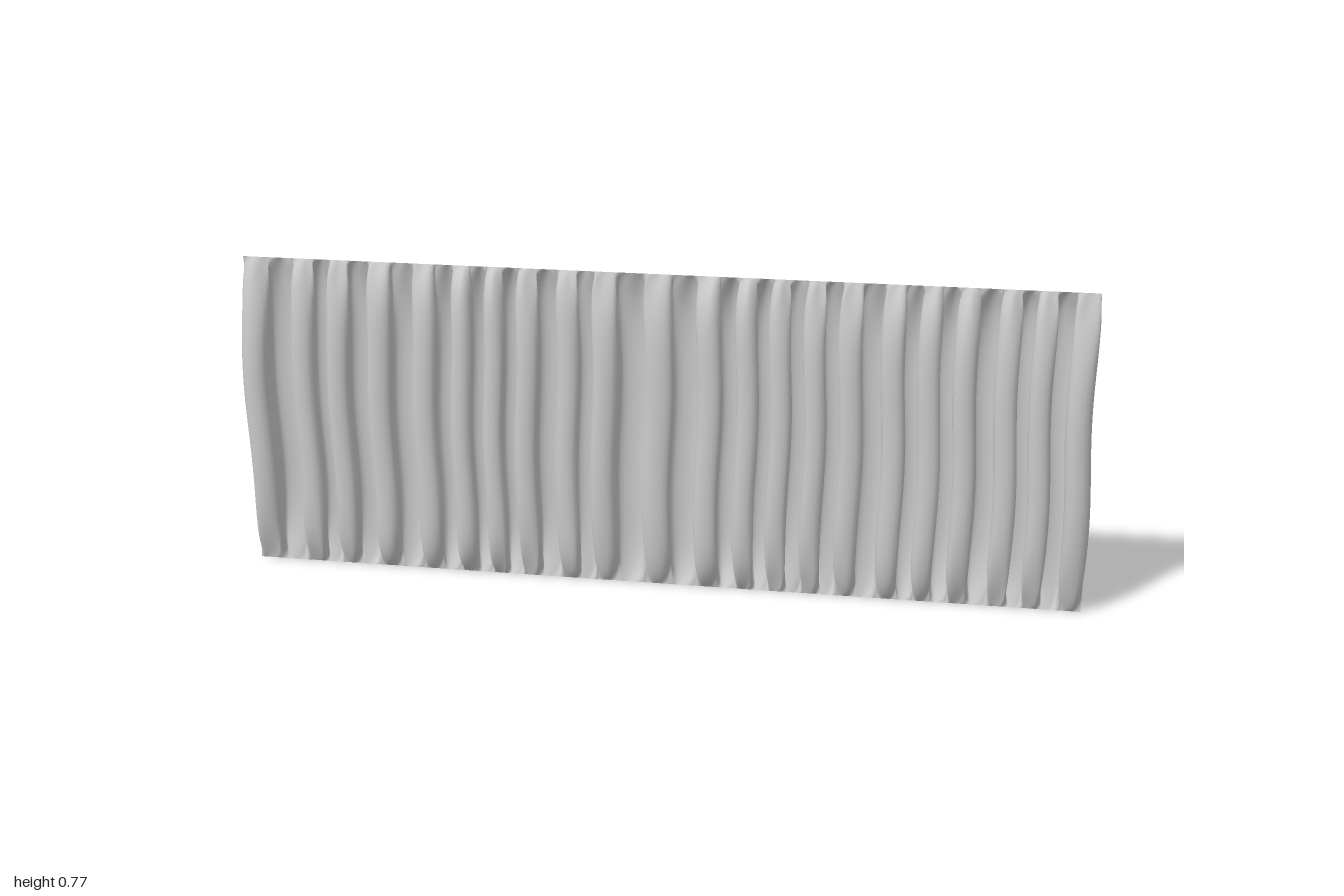
import * as THREE from 'three';

const HEIGHT = 0.77;
// x of the crest of every front fold
const crests = [-0.96, -0.84, -0.76, -0.66, -0.55, -0.46, -0.385, -0.31, -0.21, -0.13, 0,
  0.12, 0.205, 0.28, 0.36, 0.44, 0.54, 0.62, 0.7, 0.795, 0.87, 0.955];
const LAST = crests.length - 1;

// Repeatable value from 0 to 1 for fold number k
function rand(k, salt) {
  const v = Math.sin(k * 12.9898 + salt * 78.233) * 43758.5453;
  return v - Math.floor(v);
}

// Place along the curtain for a phase counted in folds
function along(p) {
  if (p <= 0) return crests[0] + p * 0.12;
  if (p >= LAST) return crests[LAST] + (p - LAST) * 0.12;
  const i = Math.floor(p);
  return THREE.MathUtils.lerp(crests[i], crests[i + 1], p - i);
}

// Point on the gathered cloth: p is the fold phase, v runs from 0 (bottom) to 1 (top)
function clothPoint(p, v, target) {
  const t = Math.abs(2 * v - 1);
  const edge = 1 - Math.pow(t, 10);
  // gentle sideways drift of the folds with height
  const drift = edge * 0.006 * Math.sin(v * 7 + Math.floor(p + 0.5) * 0.3);
  const theta = p * Math.PI * 2;
  const c = Math.cos(theta);
  const front = c > 0;
  const k = front ? Math.round(p) : Math.floor(p);
  const endFold = front && (k === 0 || k === LAST);
  const depth = endFold ? 0.055 : front ? 0.034 + 0.014 * rand(k, 1) : 0.026 + 0.01 * rand(k, 2);
  const power = endFold ? 3 : 4 + 5 * rand(k, front ? 3 : 4);
  // omega-shaped fold: rounded crest with a pinched neck
  let out = c * depth * (1 - Math.pow(t, power));
  let side = 0.014 * Math.sin(2 * theta) * edge;
  // small creases where the cloth is gathered at both hems
  const pucker = Math.pow(t, 5) * (1 - Math.pow(t, 14));
  const flip = v > 0.5 ? 1 : 2.3;
  out += pucker * 0.009 * Math.sin(theta * 3 + flip * 2 + k);
  side += pucker * 0.004 * Math.sin(theta * 4 + flip * 3);
  const s = along(p) + side + drift * Math.sin(Math.PI * v);
  // the hanging line runs slightly diagonally
  const slope = 0.193, len = Math.hypot(1, slope);
  return target.set(s - out * slope / len, v * HEIGHT, -0.02 + slope * s + out / len);
}

export function createModel() {
  const group = new THREE.Group();
  group.name = 'gatheredCurtain';

  const geometry = new THREE.PlaneGeometry(1, 1, (LAST + 1) * 24, 48);
  const pos = geometry.attributes.position;
  const point = new THREE.Vector3();
  for (let i = 0; i < pos.count; i++) {
    const p = THREE.MathUtils.lerp(-0.25, LAST + 0.25, pos.getX(i) + 0.5);
    // rows are packed closer together towards the hems
    const v = 0.5 + 0.5 * Math.sin(pos.getY(i) * Math.PI);
    clothPoint(p, v, point);
    pos.setXYZ(i, point.x, point.y, point.z);
  }
  geometry.computeVertexNormals();

  const cloth = new THREE.Mesh(geometry, new THREE.MeshStandardMaterial({
    color: 0xcccccc, side: THREE.DoubleSide,
  }));
  cloth.name = 'pleatedCloth';
  group.add(cloth);
  return group;
}
